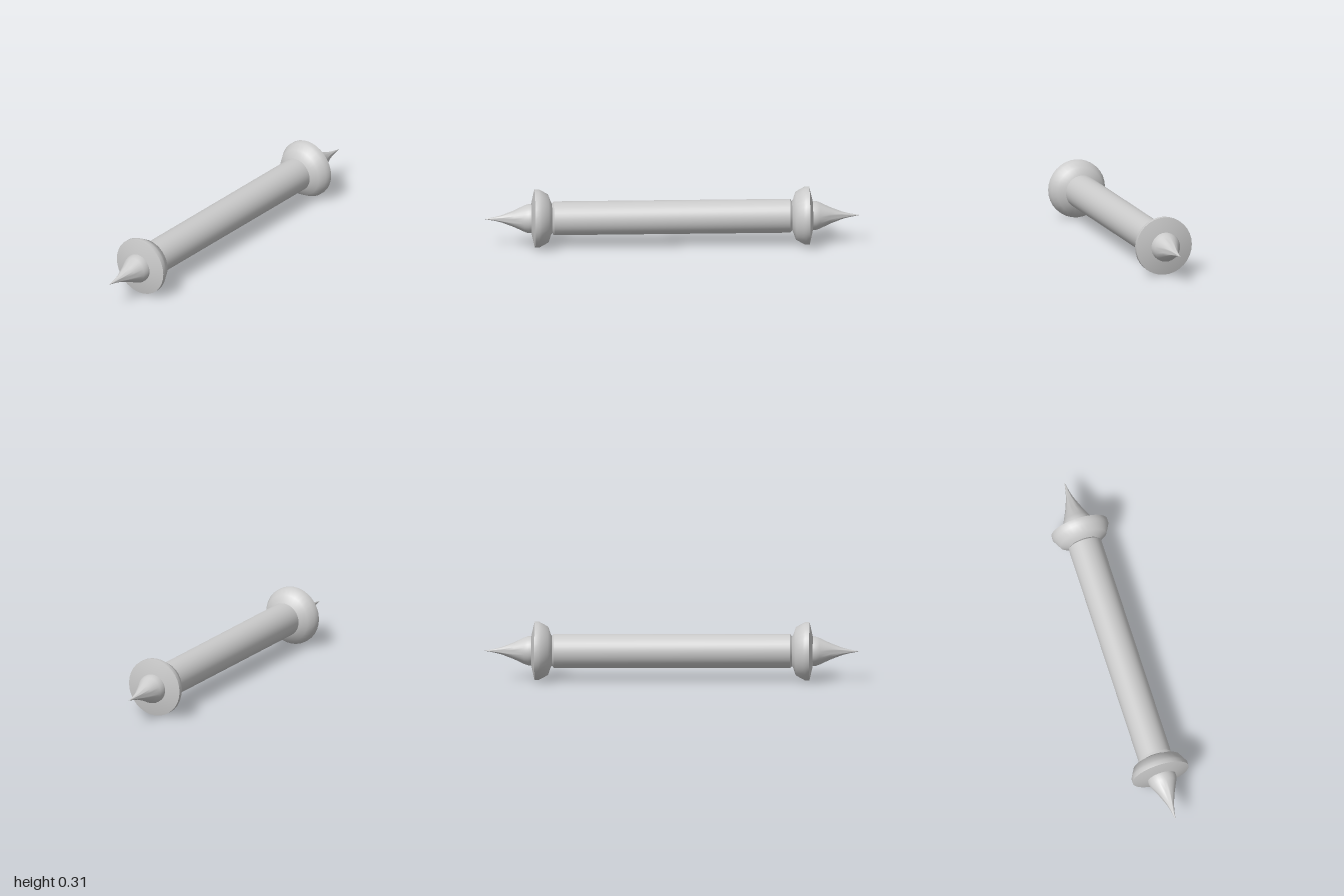
import * as THREE from 'three';
import { toCreasedNormals } from 'three/addons/utils/BufferGeometryUtils.js';

const SIDES = 32;
const AXIS_HEIGHT = 0.155;
const material = new THREE.MeshStandardMaterial({ color: 0xcccccc });

// Turned part: profile of [radius, distance along the bar], laid along +x
function turned(name, profile, crease) {
  const points = profile.map(([r, d]) => new THREE.Vector2(r, d));
  const geometry = toCreasedNormals(new THREE.LatheGeometry(points, SIDES), crease);
  geometry.rotateZ(-Math.PI / 2);
  const mesh = new THREE.Mesh(geometry, material);
  mesh.name = name;
  return mesh;
}

// Collar and pointed finial for one end
function createEnd(name) {
  const end = new THREE.Group();
  end.name = name;
  end.add(
    turned('collar', [
      [0, 0.63], [0.07, 0.63], [0.09, 0.642], [0.128, 0.655],
      [0.148, 0.692], [0.155, 0.705], [0.155, 0.727], [0.077, 0.745], [0, 0.745],
    ], 1.1),
    turned('finial', [
      [0.077, 0.74], [0.077, 0.762], [0.07, 0.782], [0.045, 0.835],
      [0.02, 0.9], [0.011, 0.935], [0, 0.995],
    ], 1.0),
  );
  return end;
}

export function createModel() {
  const model = new THREE.Group();
  model.name = 'spikedBar';

  // Straight shaft with slightly chamfered ends
  const shaft = turned('shaft', [
    [0, -0.64], [0.072, -0.64], [0.09, -0.625],
    [0.09, 0.625], [0.072, 0.64], [0, 0.64],
  ], 0.6);

  // Matching ends, the right one turned about the vertical
  const leftEnd = createEnd('leftEnd');
  const rightEnd = createEnd('rightEnd');
  rightEnd.rotation.y = Math.PI;

  model.add(shaft, leftEnd, rightEnd);
  for (const part of model.children) part.position.y = AXIS_HEIGHT;
  return model;
}
